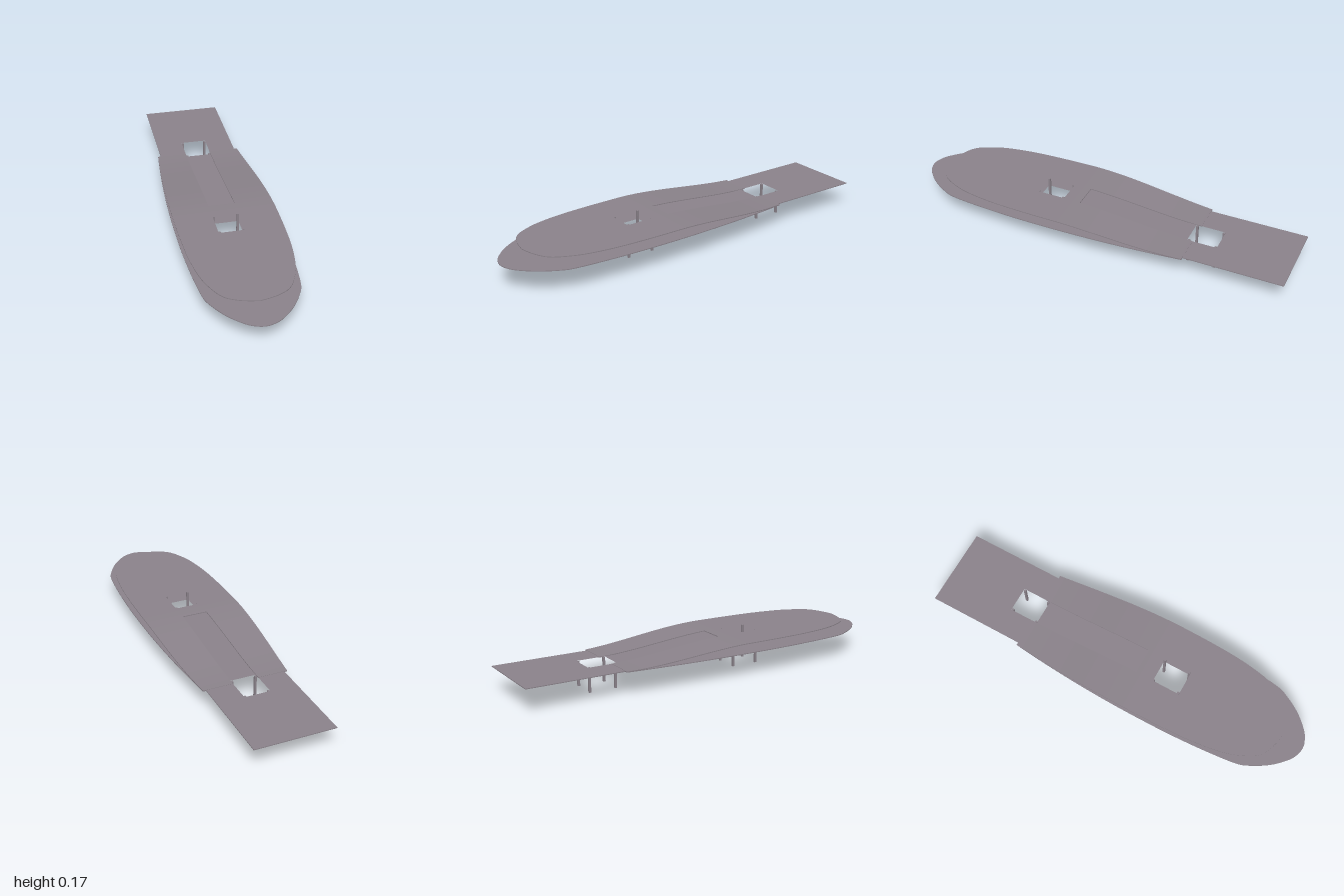
import * as THREE from 'three';

const THICK = 0.004, LOW = 0.125, HIGH = 0.175;
const HOLE_X = 0.066, HOLE_Z = 0.076, WELLS = [0.27, -0.548];
const RAMP_START = 0.18, SLOT_FRONT = 0.105, HULL_BACK = -0.5;

// half width of the hull behind its widest point
const halfWidth = (z) => 0.257 - 0.039 * ((0.2 - z) / 0.7) ** 2;

// top surface of the upper deck, easing down onto the lower deck
const deckTop = (z) => {
  const t = THREE.MathUtils.smoothstep(-z, -0.18, 0.52);
  return THREE.MathUtils.lerp(HIGH, LOW + 0.0012, t);
};

// flat plate from one half outline of [x, z] points, with rectangular openings
function plate(half, top, wells) {
  const mirrored = half.filter(([x]) => x > 0).map(([x, z]) => [-x, z]).reverse();
  const toPoint = ([x, z]) => new THREE.Vector2(x, -z);
  const shape = new THREE.Shape([...half, ...mirrored].map(toPoint));
  for (const c of wells) {
    const a = c - HOLE_Z, b = c + HOLE_Z;
    shape.holes.push(new THREE.Path(
      [[-HOLE_X, a], [HOLE_X, a], [HOLE_X, b], [-HOLE_X, b]].map(toPoint)));
  }
  const geo = new THREE.ExtrudeGeometry(shape, { depth: THICK, bevelEnabled: false });
  return geo.rotateX(-Math.PI / 2).translate(0, top - THICK, 0);
}

// smooth run of outline points through a few [x, z] controls
function smooth(points, n) {
  return new THREE.SplineCurve(points.map(([x, z]) => new THREE.Vector2(x, z)))
    .getPoints(n).map((p) => [p.x, p.y]);
}

// sloping panel between two x limits that follow z
function rampPanel(z0, z1, xMin, xMax, steps) {
  const geo = new THREE.BoxGeometry(1, 1, 1, 1, 1, steps);
  const p = geo.attributes.position;
  for (let i = 0; i < p.count; i++) {
    const z = THREE.MathUtils.lerp(z0, z1, p.getZ(i) + 0.5);
    const x = THREE.MathUtils.lerp(xMin(z), xMax(z), p.getX(i) + 0.5);
    p.setXYZ(i, x, deckTop(z) + (p.getY(i) - 0.5) * THICK, z);
  }
  geo.computeVertexNormals();
  return geo;
}

export function createModel() {
  const model = new THREE.Group();
  model.name = 'deckedHull';
  const deckGrey = new THREE.MeshStandardMaterial({ color: 0x8a828a });
  deckGrey.name = 'deckGrey';
  const add = (name, geo, parent = model) => {
    const mesh = new THREE.Mesh(geo, deckGrey);
    mesh.name = name;
    parent.add(mesh);
    return mesh;
  };

  // hull side, from the step at the stern to the widest point
  const sideFrom = (z0, n) => Array.from({ length: n + 1 }, (_, i) => {
    const z = THREE.MathUtils.lerp(z0, 0.2, i / n);
    return [halfWidth(z), z];
  });

  // lower deck with narrow stern, pointed bow and two wells
  const lowerBow = smooth([[0.257, 0.2], [0.255, 0.38], [0.245, 0.57], [0.228, 0.74],
    [0.205, 0.81], [0.15, 0.9], [0.08, 0.97], [0.03, 0.995], [0, 1]], 40);
  add('lowerDeck', plate(
    [[0.203, -1], [0.203, HULL_BACK], ...sideFrom(HULL_BACK, 14), ...lowerBow.slice(1)],
    LOW, WELLS));

  // upper deck: flat forward part
  const upperDeck = new THREE.Group();
  upperDeck.name = 'upperDeck';
  model.add(upperDeck);
  const upperBow = smooth([[0.257, 0.2], [0.254, 0.36], [0.245, 0.52], [0.224, 0.66],
    [0.195, 0.75], [0.15, 0.828], [0.08, 0.868], [0, 0.887]], 32);
  add('upperDeckFront', plate(
    [...sideFrom(RAMP_START, 1), ...upperBow.slice(1)], HIGH, [WELLS[0]]), upperDeck);

  // upper deck: ramp split by a central slot
  const outer = (z) => halfWidth(z);
  add('rampTop', rampPanel(SLOT_FRONT, RAMP_START, (z) => -outer(z), outer, 4), upperDeck);
  add('rampLeft', rampPanel(HULL_BACK, SLOT_FRONT, () => HOLE_X, outer, 24), upperDeck);
  add('rampRight', rampPanel(HULL_BACK, SLOT_FRONT, (z) => -outer(z), () => -HOLE_X, 24), upperDeck);

  // four square posts in the corners of each well
  WELLS.forEach((c, i) => {
    const posts = new THREE.Group();
    posts.name = i === 0 ? 'frontPosts' : 'rearPosts';
    model.add(posts);
    const height = (i === 0 ? HIGH : LOW) - 0.001;
    for (const sx of [-1, 1]) for (const sz of [-1, 1]) {
      const post = add('post', new THREE.BoxGeometry(0.011, height, 0.011), posts);
      post.position.set(sx * 0.0605, height / 2, c + sz * 0.069);
    }
  });
  return model;
}
